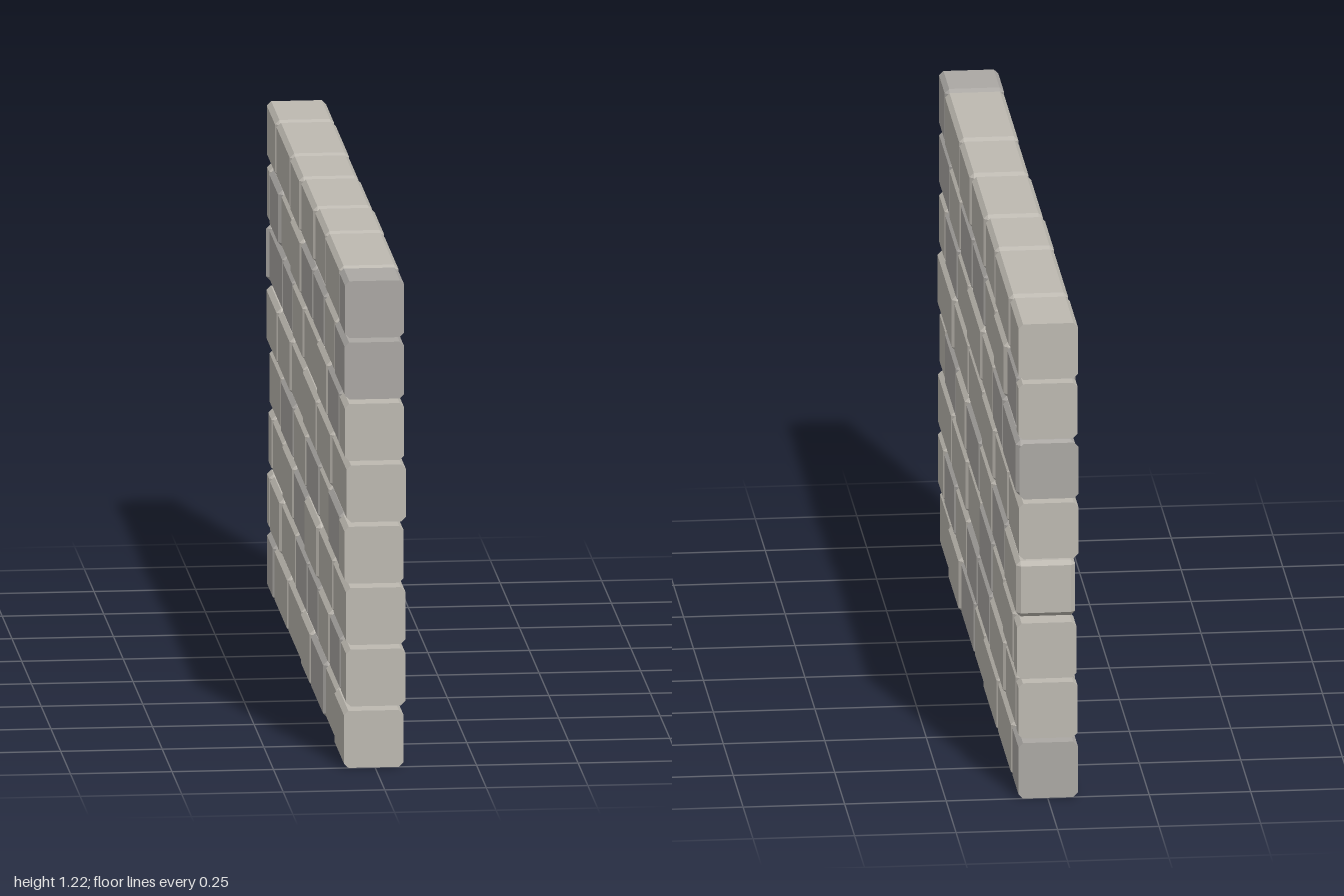
import * as THREE from 'three';
import { ConvexGeometry } from 'three/addons/geometries/ConvexGeometry.js';

const COURSE = 0.1543, HEIGHT = 0.143, WIDTH = 0.146, JOINT = 0.011, BEVEL = 0.011;

// Courses from bottom to top: z of each vertical joint, and which bricks are dark
const courses = [
  { joints: [0.739, 0.457, 0.117, -0.133, -0.486, -0.836], dark: [2, 6] },
  { joints: [0.852, 0.572, 0.293, 0.012, -0.298, -0.661, -0.934], dark: [1, 3, 4] },
  { joints: [0.661, 0.296, -0.031, -0.351, -0.632, -0.903], dark: [3] },
  { joints: [0.852, 0.552, 0.297, -0.033, -0.351, -0.675, -0.994], dark: [1, 3, 5] },
  { joints: [0.627, 0.266, -0.097, -0.404, -0.728], dark: [] },
  { joints: [0.851, 0.539, 0.266, -0.092, -0.375, -0.633, -0.986], dark: [1, 5, 6, 7] },
  { joints: [0.737, 0.456, 0.16, -0.14, -0.405, -0.682, -0.933], dark: [0, 2, 3, 6] },
  { joints: [0.842, 0.458, 0.18, -0.148, -0.404, -0.775], dark: [0] },
];

// Small seeded generator for the unevenness of the wall faces
let seed = 7;
function random() {
  seed = (seed * 16807) % 2147483647;
  return seed / 2147483647;
}

// Bevelled brick from z0 to z1; an end cut flush with the wall has no end bevel
function brickGeometry(z0, z1, cut0, cut1) {
  const points = [];
  const w = WIDTH / 2, h = HEIGHT / 2;
  const bevel = Math.min(BEVEL, z1 - z0);
  for (const [z, inward, cut] of [[z0, 1, cut0], [z1, -1, cut1]]) {
    const shoulder = cut ? z : z + inward * bevel;
    for (const sx of [-1, 1]) {
      for (const sy of [-1, 1]) {
        points.push(new THREE.Vector3(sx * w, sy * (h - BEVEL), shoulder));
        points.push(new THREE.Vector3(sx * (w - BEVEL), sy * h, shoulder));
        if (!cut) points.push(new THREE.Vector3(sx * (w - BEVEL), sy * (h - BEVEL), z));
      }
    }
  }
  return new ConvexGeometry(points);
}

export function createModel() {
  const wall = new THREE.Group();
  wall.name = 'brickWall';
  const light = new THREE.MeshStandardMaterial({ color: 0xbdb9b1, flatShading: true });
  const dark = new THREE.MeshStandardMaterial({ color: 0xaba8a4, flatShading: true });

  courses.forEach(({ joints, dark: darkBricks }, row) => {
    const course = new THREE.Group();
    course.name = `course${row + 1}`;
    course.position.y = 0.002 + HEIGHT / 2 + row * COURSE;
    const ends = [1, ...joints, -1];
    for (let i = 0; i < ends.length - 1; i++) {
      const cutFront = i === 0, cutBack = i === ends.length - 2;
      const z1 = ends[i] - (cutFront ? 0 : JOINT / 2);
      const z0 = ends[i + 1] + (cutBack ? 0 : JOINT / 2);
      if (z1 - z0 < 0.005) continue; // only mortar gap left
      const brick = new THREE.Mesh(
        brickGeometry(z0, z1, cutBack, cutFront),
        darkBricks.includes(i) ? dark : light
      );
      brick.name = `brick${i + 1}`;
      brick.position.x = (random() - 0.5) * 0.007;
      course.add(brick);
    }
    wall.add(course);
  });
  return wall;
}
